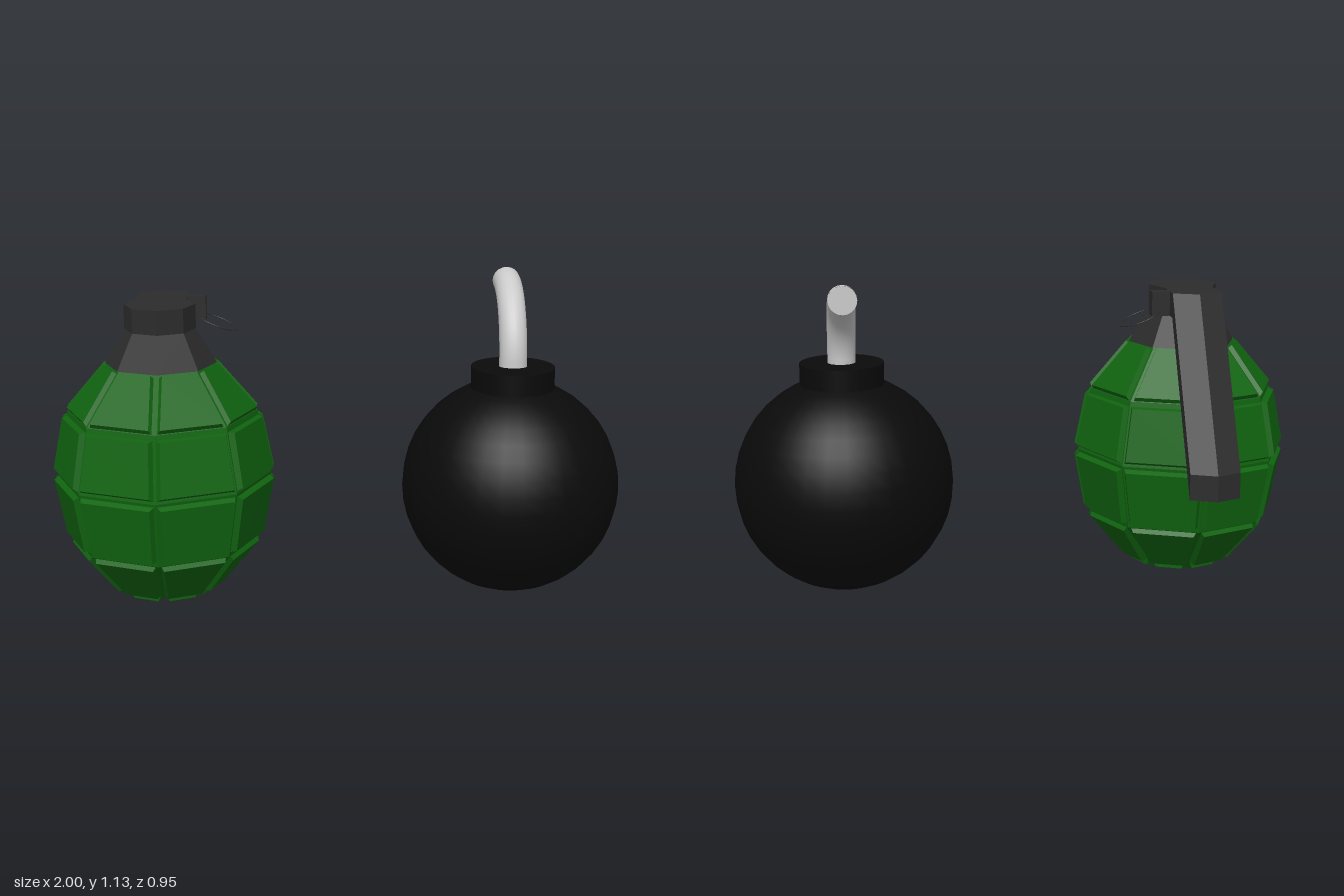
import * as THREE from 'three';
import { ConvexGeometry } from 'three/addons/geometries/ConvexGeometry.js';
import { mergeGeometries } from 'three/addons/utils/BufferGeometryUtils.js';

const V = (x, y, z) => new THREE.Vector3(x, y, z);
const mat = (color, flatShading = false) => new THREE.MeshStandardMaterial({ color, flatShading });

function add(parent, name, geometry, material, x = 0, y = 0, z = 0) {
  const mesh = new THREE.Mesh(geometry, material);
  mesh.name = name;
  mesh.position.set(x, y, z);
  parent.add(mesh);
  return mesh;
}

// Corner rings of the eight-sided grenade body: [radius, height]
const RINGS = [[0.015, 0.003], [0.2, 0.055], [0.352, 0.235], [0.397, 0.47], [0.352, 0.695], [0.207, 0.865]];

const corner = ([r, y], k) => V(r * Math.sin(k * Math.PI / 4), y, r * Math.cos(k * Math.PI / 4));

// Raised panel with sloping sides between two rings
function panel(i, k) {
  const a = corner(RINGS[i], k), b = corner(RINGS[i], k + 1);
  const c = corner(RINGS[i + 1], k), d = corner(RINGS[i + 1], k + 1);
  const normal = b.clone().sub(a).cross(c.clone().sub(a)).normalize();
  const height = a.clone().add(b).distanceTo(c.clone().add(d)) / 2;
  const topRow = i === RINGS.length - 2;
  const points = [];
  for (const [inset, depth] of [[0.021, 0], [0.011, 0.028]]) {
    for (const v of [inset / height, topRow ? 1 : 1 - inset / height]) {
      const left = a.clone().lerp(c, v), right = b.clone().lerp(d, v);
      const u = Math.min(inset / left.distanceTo(right), 0.4);
      for (const s of [u, 1 - u]) {
        const p = left.clone().lerp(right, s).addScaledVector(normal, -depth);
        p.y = Math.max(p.y, 0);
        points.push(p);
      }
    }
  }
  return new ConvexGeometry(points);
}

// Lever: the two rear faces of the cap carried back and then down
function leverGeometry() {
  const w = 0.087, ridge = 0.037;
  const stations = [[0, 1.07, 0.985], [-0.13, 1.07, 0.985], [-0.438, 0.505, 0.415]]; // side z, top, bottom
  const segments = [];
  for (let i = 0; i < 2; i++) {
    const points = stations.slice(i, i + 2).map(([z, top, bottom]) => [top, bottom].map(
      y => [V(-w, y, z), V(0, y, z - ridge), V(w, y, z)]));
    // Each half is convex
    for (const h of [0, 1]) {
      segments.push(new ConvexGeometry(points.flat().flatMap(row => [row[h], row[h + 1]])));
    }
  }
  return mergeGeometries(segments);
}

function createGrenade() {
  const group = new THREE.Group();
  group.name = 'grenade';
  const green = mat(0x106410, true), dark = mat(0x2c2c2c, true);

  // Groove floor
  const profile = RINGS.map(([r, y], i) => new THREE.Vector2(
    Math.max(r - 0.022, 0.001), i === 0 ? 0.018 : i === 1 ? 0.07 : y));
  profile.push(new THREE.Vector2(0, 0.865));
  profile.unshift(new THREE.Vector2(0, 0.018));
  add(group, 'bodyCore', new THREE.LatheGeometry(profile, 8), green);

  // Raised panels
  const panels = [];
  for (let i = 0; i < RINGS.length - 1; i++) {
    for (let k = 0; k < 8; k++) panels.push(panel(i, k));
  }
  add(group, 'bodyPanels', mergeGeometries(panels), green);

  // Flared neck and cap
  add(group, 'neck', new THREE.CylinderGeometry(0.123, 0.193, 0.12, 8), dark, 0, 0.925, 0);
  add(group, 'cap', new THREE.CylinderGeometry(0.123, 0.123, 0.085, 8), dark, 0, 1.0275, 0);

  // Safety lever, pin lug and pull ring
  add(group, 'lever', leverGeometry(), dark, 0, 0, -0.085);
  add(group, 'pinLug', new THREE.BoxGeometry(0.08, 0.085, 0.04), dark, 0.11, 1.0275, -0.155);
  const ring = add(group, 'pullRing', new THREE.TorusGeometry(0.077, 0.002, 6, 32), dark, 0.185, 0.978, -0.15);
  ring.rotation.set(Math.PI / 2, -0.38, 0);

  group.position.set(-0.615, 0, 0.085);
  return group;
}

function createBomb() {
  const group = new THREE.Group();
  group.name = 'bomb';
  const black = mat(0x0a0a0a), grey = mat(0xcccccc);

  add(group, 'bombBody', new THREE.SphereGeometry(0.385, 32, 20), black, 0, 0.4, 0);
  add(group, 'collar', new THREE.CylinderGeometry(0.147, 0.147, 0.12, 32), black, 0, 0.77, 0);

  // Fuse bending backwards through a quarter circle
  const R = 0.259, points = [];
  for (let i = 0; i <= 12; i++) {
    const t = i / 12 * Math.PI / 2;
    points.push(V(0, 0.83 + R * Math.sin(t), R * (Math.cos(t) - 1)));
  }
  add(group, 'fuse', new THREE.TubeGeometry(new THREE.CatmullRomCurve3(points), 24, 0.049, 20), grey);
  const end = add(group, 'fuseEnd', new THREE.CircleGeometry(0.049, 20), grey, 0, 0.83 + R, -R);
  end.rotation.y = Math.PI;

  group.position.set(0.612, 0, 0.022);
  return group;
}

export function createModel() {
  const model = new THREE.Group();
  model.name = 'grenadeAndBomb';
  model.add(createGrenade(), createBomb());
  return model;
}
